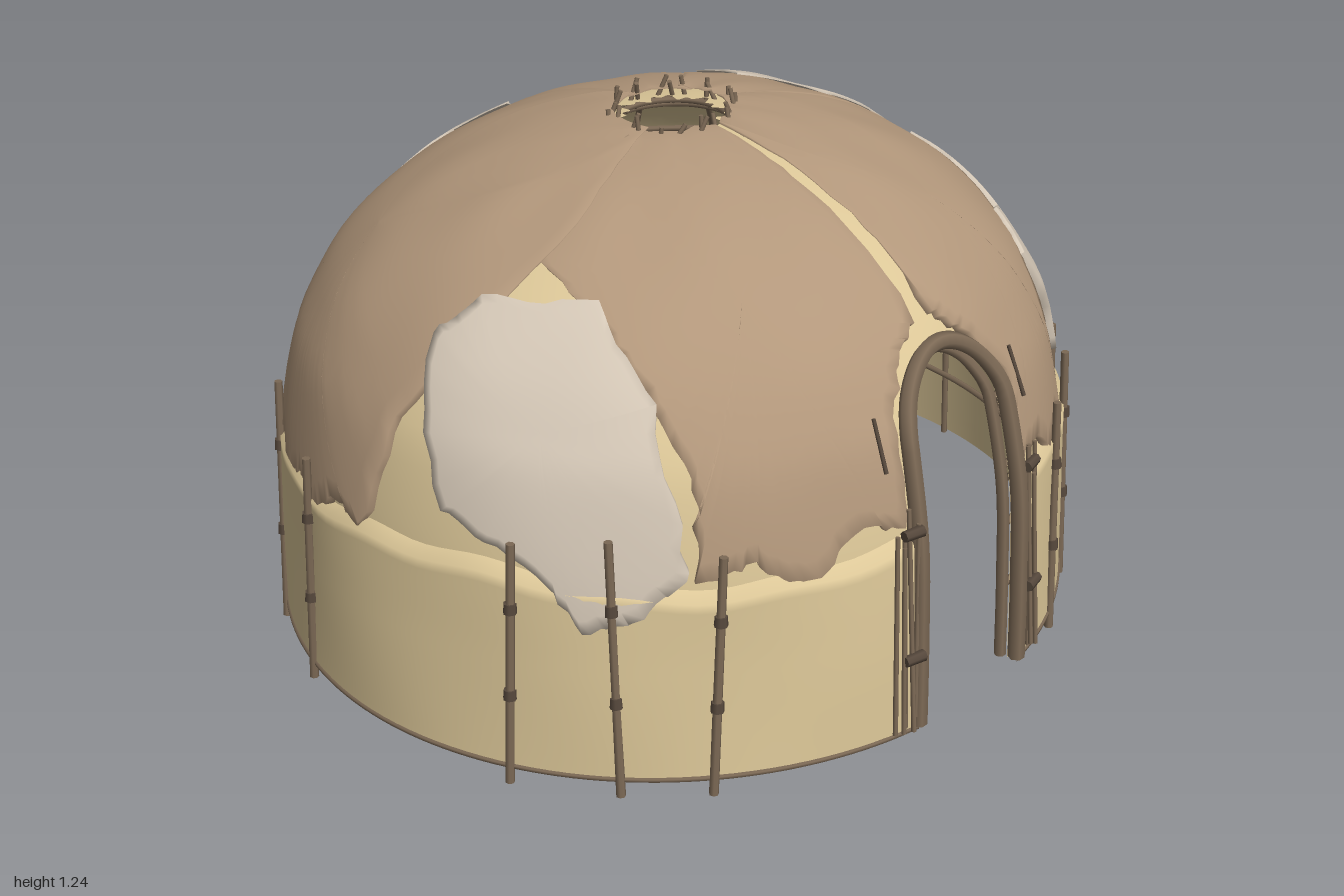
import * as THREE from 'three';

const mat = (name, color, side = THREE.FrontSide) => {
  const m = new THREE.MeshStandardMaterial({ color, side });
  m.name = name;
  return m;
};

// small seeded random
let seed = 7;
const rand = () => ((seed = (seed * 16807) % 2147483647) / 2147483647);
const jit = (a) => (rand() * 2 - 1) * a;

// dome profile (radius, height), from the apex down to the hem
const profile = new THREE.SplineCurve([
  [0, 1.21], [0.13, 1.205], [0.25, 1.187], [0.4, 1.147], [0.55, 1.085], [0.69, 1.0], [0.8, 0.9], [0.87, 0.8],
  [0.917, 0.7], [0.96, 0.5], [0.974, 0.3], [0.983, 0.04],
].map(([r, y]) => new THREE.Vector2(r, y)));
profile.arcLengthDivisions = 400;
const HEM = profile.getLength();
const DOOR = 10.6; // half width of the doorway in degrees

// point on the dome: angle from the front, distance down from the apex, offset outward
function pt(deg, s, off = 0) {
  const u = THREE.MathUtils.clamp(s / HEM, 0, 1);
  const p = profile.getPointAt(u), t = profile.getTangentAt(u), a = deg * Math.PI / 180;
  const r = p.x - t.y * off, k = 1 - u;
  return new THREE.Vector3(r * Math.sin(a) + 0.02 * k, p.y + t.x * off, r * Math.cos(a) * 0.95 - 0.03 * k);
}
// distance down the profile at a given height
function sAt(y) {
  let a = 0, b = 1;
  for (let i = 0; i < 24; i++) {
    const m = (a + b) / 2;
    if (profile.getPointAt(m).y > y) a = m; else b = m;
  }
  return a * HEM;
}
const archY = (deg) => 0.71 + 0.165 * Math.sqrt(Math.max(0, 1 - (deg / DOOR) ** 2));

// grid surface from f(i / nu, j / nv)
function grid(f, nu, nv) {
  const pos = [], idx = [];
  for (let i = 0; i <= nu; i++) for (let j = 0; j <= nv; j++) {
    pos.push(...f(i / nu, j / nv).toArray());
    if (i < nu && j < nv) {
      const a = i * (nv + 1) + j, b = a + nv + 1;
      idx.push(a, a + 1, b, b, a + 1, b + 1);
    }
  }
  const g = new THREE.BufferGeometry();
  g.setAttribute('position', new THREE.Float32BufferAttribute(pos, 3));
  g.setIndex(idx);
  g.computeVertexNormals();
  return g;
}

// ragged hide: rings from a centre to an outline of [deg, distance], lower edges turned down
function hide(center, outline, off) {
  const edge = [], SUB = 7, RINGS = 14;
  outline.forEach((p, i) => {
    const q = outline[(i + 1) % outline.length];
    for (let k = 0; k < SUB; k++) {
      const t = k / SUB;
      edge.push([p[0] + (q[0] - p[0]) * t + jit(0.6), p[1] + (q[1] - p[1]) * t + jit(0.008)]);
    }
  });
  edge.push(edge[0]);
  const n = edge.length - 1;
  return grid((u, v) => {
    const e = edge[Math.round(u * n)], j = Math.round(v * (RINGS + 1)), k = Math.min(j / RINGS, 1);
    const d = center[0] + (e[0] - center[0]) * k, s = center[1] + (e[1] - center[1]) * k;
    const wave = 0.003 * Math.sin(d * 0.21) * Math.sin(s * 9);
    return pt(d, s, j <= RINGS ? off + wave : s > 0.75 ? -0.018 : off - 0.004);
  }, n, RINGS + 1);
}

// roof hide: one side edge down from the smoke hole, a scalloped hem, the other edge back up
function roofHide(center, down, up, off) {
  const [d0, s0] = down.at(-1), [d1, s1] = up[0], n = 2 * Math.round(Math.abs(d1 - d0) / 13);
  const hem = steps(n, (t) => [d0 + (d1 - d0) * t, s0 + (s1 - s0) * t]).slice(1, -1)
    .map(([d, s], i) => [d, s + (i % 2 ? 0.04 : -0.02) + jit(0.015)]);
  return hide(center, [[down[0][0], 0.14], ...down, ...hem, ...up, [up.at(-1)[0], 0.14]], off);
}

function rod(a, b, r) {
  const d = b.clone().sub(a);
  const g = new THREE.CylinderGeometry(r * 0.9, r, d.length(), 7);
  g.applyQuaternion(new THREE.Quaternion().setFromUnitVectors(new THREE.Vector3(0, 1, 0), d.normalize()));
  const c = a.clone().add(b).multiplyScalar(0.5);
  return g.translate(c.x, c.y, c.z);
}
const tube = (pts, r, closed = false) =>
  new THREE.TubeGeometry(new THREE.CatmullRomCurve3(pts, closed), pts.length * 3, r, 6, closed);
const steps = (n, f) => Array.from({ length: n + 1 }, (_, i) => f(i / n));

export function createModel() {
  const model = new THREE.Group();
  const canvas = mat('tan canvas', 0xdcc798, THREE.DoubleSide);
  const brown = mat('brown hide', 0xb2977b, THREE.DoubleSide);
  const pale = mat('pale hide', 0xd5c8b7, THREE.DoubleSide);
  const wood = mat('wood', 0x7c6955);
  const dark = mat('dark binding', 0x56483c);
  const add = (name, g, m, parent = model) => {
    const mesh = new THREE.Mesh(g, m);
    mesh.name = name;
    parent.add(mesh);
  };
  const group = (name) => {
    const g = new THREE.Group();
    g.name = name;
    model.add(g);
    return g;
  };

  // canvas shell with smoke hole and doorway
  const holeS = (d) => 0.125 + 0.014 * Math.sin(d * 0.14) + 0.012 * Math.sin(d * 0.33);
  const span = (u) => DOOR + u * (360 - 2 * DOOR);
  add('shell', grid((u, v) => pt(span(u), holeS(span(u)) * (1 - v) + HEM * v, -0.02), 120, 36), canvas);
  add('shellOverDoor', grid((u, v) => {
    const d = -DOOR * Math.cos(u * Math.PI);
    return pt(d, holeS(d) * (1 - v) + sAt(archY(d)) * v, -0.02);
  }, 20, 20), canvas);

  // skirt around the wall with a rolled upper edge
  add('skirt', grid((u, v) => {
    const d = span(u), top = sAt(0.51 + 0.014 * Math.sin(d * 0.09 + 1) + 0.006 * Math.sin(d * 0.31));
    const bulge = v === 0 ? -0.02 : 0.002 + 0.008 * Math.exp(-v * 9) + 0.004 * Math.sin(d * 0.17) * Math.sin(v * 3.1);
    return pt(d, top + (HEM - top) * v, bulge);
  }, 140, 20), canvas);
  add('hemRope', tube(steps(60, (u) => pt(span(u), HEM, 0)), 0.007), wood);

  // brown roof hides: front left, front right, side, back right, back left
  const browns = group('brownHides');
  const addBrown = (...args) => add('brownHide', roofHide(...args), brown, browns);
  addBrown([-32, 0.7], [[-1, 0.4], [-1.5, 0.85], [-7, 0.9], [-12, 1.03], [-12.5, 1.27]],
    [[-42, 1.31], [-42, 1.1], [-49, 0.9], [-60, 0.72], [-79, 0.58]], 0);
  addBrown([30, 0.65], [[3.5, 0.5], [3, 0.85], [7, 0.91], [13, 1.05], [13, 1.27]],
    [[34, 1.34], [34, 1.1], [39, 0.98], [65, 0.8], [84, 0.66]], 0.002);
  addBrown([100, 0.75], [[80, 0.6], [80, 1], [85, 1.15], [89, 1.38]], [[117, 1.25], [120, 1], [130, 0.4]], 0.004);
  addBrown([140, 0.7], [[116, 0.6], [117, 0.9], [119, 1.33]],
    [[143, 1.41], [150, 1.3], [157, 0.88], [181, 0.64], [185, 0.4]], 0.001);
  addBrown([235, 0.75], [[179, 0.62], [197, 0.84], [207, 1.32]], [[268, 1.32], [273, 1], [290, 0.5]], 0.003);

  // pale hides: front left, front right, high on the side, back
  const pales = group('paleHides');
  const addPale = (...args) => add('paleHide', hide(...args), pale, pales);
  addPale([-64, 1], [[-48, 0.93], [-43, 1.28], [-49, 1.38], [-57, 1.42], [-64, 1.28], [-78, 1.2], [-87, 0.85],
    [-82, 0.74], [-59, 0.7]], 0.008);
  addPale([63, 1.05], [[41, 0.95], [50, 0.87], [57, 0.92], [64, 0.8], [77, 0.75], [77, 0.92], [82, 1.23], [70, 1.32],
    [62, 1.27], [48, 1.28]], 0.01);
  addPale([104, 0.7], [[109, 0.37], [128, 0.5], [127, 0.91], [117, 0.93], [104, 0.94], [85, 0.74], [83, 0.5]], 0.012);
  addPale([176, 1], [[180, 0.61], [170, 0.76], [155, 0.81], [152, 1], [160, 1.25], [178, 1.28], [194, 1.4],
    [202, 0.95], [190, 0.76]], 0.012);

  // outer poles with bindings
  const poles = group('outerPoles');
  [-123, -106, -67, -52, -40, 24, 39, 52, 67, 98, 134, 147, 161, 186].forEach((d) => {
    const a = pt(d, HEM, 0.006), b = pt(d + jit(2), sAt(0.56 + rand() * 0.06), 0.025);
    a.y = 0;
    add('pole', rod(a, b, 0.011), wood, poles);
    for (const t of [0.36, 0.72])
      add('binding', rod(a.clone().lerp(b, t), a.clone().lerp(b, t + 0.04), 0.016), dark, poles);
  });

  // inner lattice: ribs, hoops and crossed braces
  const lattice = group('lattice');
  for (let d = 22.5; d < 340; d += 15)
    add('rib', tube(steps(14, (t) => pt(d, 0.14 + (HEM - 0.14) * t, -0.034)), 0.008), wood, lattice);
  for (const y of [0.22, 0.38, 0.53, 0.7])
    add('hoop', tube(steps(50, (u) => pt(span(u), sAt(y), -0.042)), 0.008), wood, lattice);
  for (const y of [0.88, 1.05])
    add('upperHoop', tube(steps(48, (u) => pt(u * 360, sAt(y), -0.04)).slice(0, -1), 0.008, true), wood, lattice);
  const brace = (d0, y0, d1, y1) =>
    add('brace', tube(steps(8, (t) => pt(d0 + (d1 - d0) * t, sAt(y0 + (y1 - y0) * t), -0.05)), 0.008), wood, lattice);
  brace(172, 0.82, 188, 0.5);
  brace(187, 0.85, 172, 0.7);
  brace(188, 0.38, 174, 0.05);
  brace(173, 0.6, 190, 0.2);
  brace(262, 0.75, 298, 0.08);
  brace(296, 0.7, 262, 0.08);
  brace(280, 0.6, 248, 0.08);

  // door frame: two bent poles, one behind the other
  const door = group('doorFrame');
  for (const [off, w, r] of [[0.004, 1, 0.02], [-0.035, 0.95, 0.014]]) {
    const arch = steps(24, (t) => {
      const d = -DOOR * Math.cos(t * Math.PI);
      return pt(d * w, sAt(archY(d)), off);
    });
    const leg = (side) => [0.05, 0.25, 0.5].map((y) => pt(side * DOOR * w, sAt(y), off));
    add('doorArch', tube([...leg(-1), ...arch, ...leg(1).reverse()], r), wood, door);
  }
  // bundles of sticks beside the door, with ties and pins
  for (const side of [-1, 1]) {
    for (let i = 0; i < 5; i++) {
      const d = side * (11.6 + i * 0.8);
      add('doorStick', rod(pt(d, sAt(0.05 + rand() * 0.03), 0.012 + (i % 2) * 0.014),
        pt(d + jit(0.5), sAt(0.48 + rand() * 0.12), 0.02), 0.006), wood, door);
    }
    for (const y of [0.24, 0.54])
      add('doorTie', rod(pt(side * 11, sAt(y), 0.025), pt(side * 14, sAt(y), 0.025), 0.014), dark, door);
    add('pin', rod(pt(side * 15.2, sAt(0.68), 0.008), pt(side * 15.6, sAt(0.79), 0.008), 0.005), dark, door);
  }

  // smoke hole rim and leaning pegs
  const rim = group('smokeHole');
  for (const [s, off] of [[0.14, -0.03], [0.165, -0.045]])
    add('rimHoop', tube(steps(24, (u) => pt(u * 360, s, off)).slice(0, -1), 0.008, true), wood, rim);
  for (let d = 0; d < 360; d += 15) {
    const q = d + jit(4);
    add('peg', rod(pt(q, 0.16, -0.04), pt(q + jit(16), 0.14 + jit(0.02), 0.012 + rand() * 0.025), 0.006), wood, rim);
  }
  return model;
}
